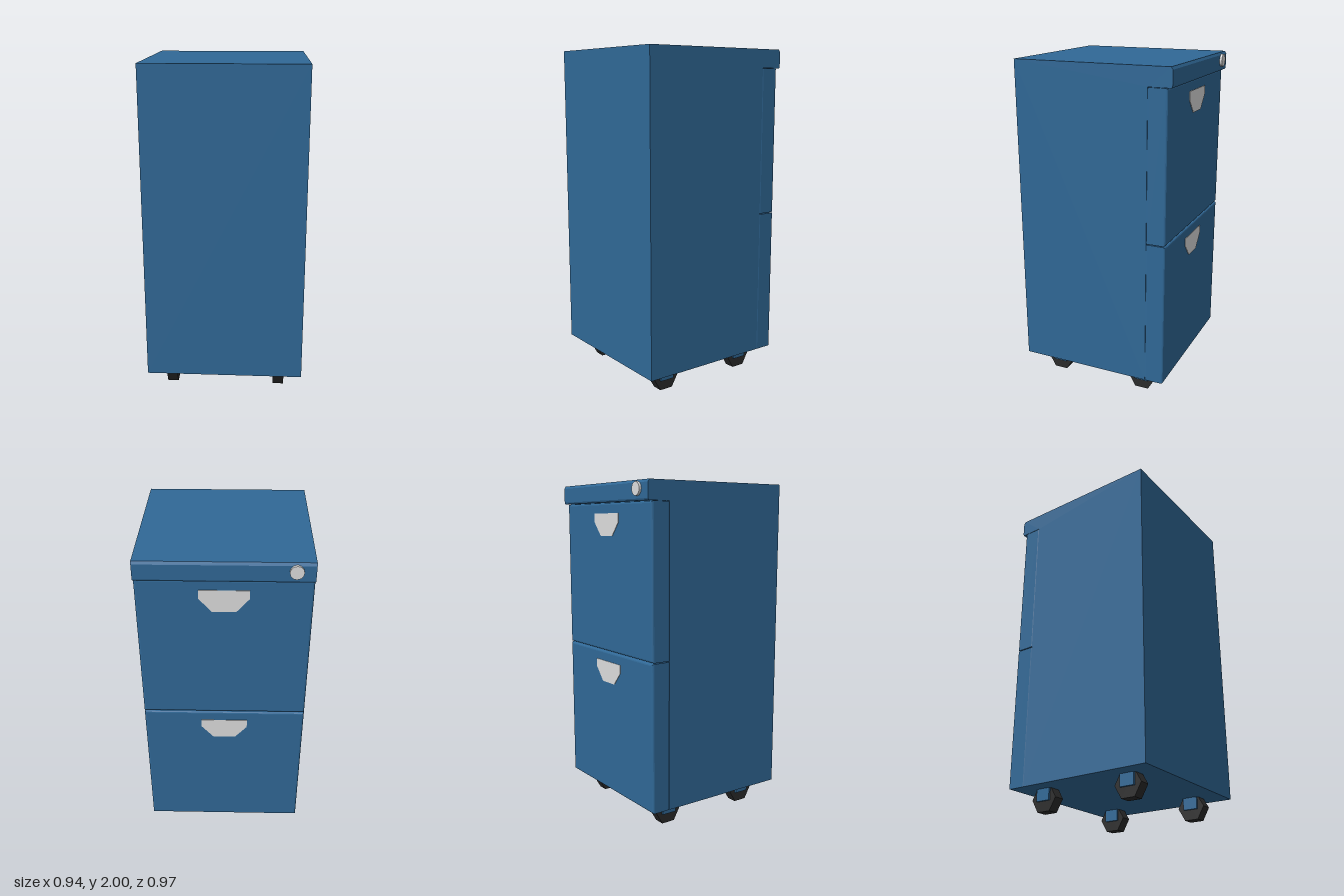
import * as THREE from 'three';

const material = (name, color) => {
  const m = new THREE.MeshStandardMaterial({ color });
  m.name = name;
  return m;
};

export function createModel() {
  const group = new THREE.Group();
  const blue = material('blue paint', 0x306896);
  const black = material('black rubber', 0x2b2b2b);
  const silver = material('silver metal', 0xdcdcdc);

  const add = (name, geometry, mat, x = 0, y = 0, z = 0) => {
    const mesh = new THREE.Mesh(geometry, mat);
    mesh.name = name;
    mesh.position.set(x, y, z);
    group.add(mesh);
    return mesh;
  };
  const polygon = (points) => new THREE.Shape(points.map(([x, y]) => new THREE.Vector2(x, y)));

  const halfWidth = 0.47;

  // Cabinet shell: side profile (depth, height) with a top overhanging the drawers
  const profile = polygon([
    [-0.485, 0.13], [0.335, 0.13], [0.335, 1.89], [0.47, 1.89],
    [0.475, 1.9], [0.475, 1.985], [0.465, 2], [-0.485, 2],
  ]);
  const shell = new THREE.ExtrudeGeometry(profile, { depth: halfWidth * 2, bevelEnabled: false });
  shell.rotateY(Math.PI / 2); // profile x becomes -z
  add('cabinetShell', shell, blue, -halfWidth);

  // Drawers with softened front edges, facing -z, and their recessed grips
  const bevel = 0.012;
  const drawers = [[0.13, 1.005], [1.01, 1.888]];
  drawers.forEach(([bottom, top], i) => {
    const label = i ? 'upper' : 'lower';
    const w = halfWidth - bevel;
    const front = polygon([
      [-w, bottom + bevel], [w, bottom + bevel], [w, top - bevel], [-w, top - bevel],
    ]);
    const drawer = new THREE.ExtrudeGeometry(front, {
      depth: 0.096, bevelThickness: bevel, bevelSize: bevel, bevelSegments: 3,
    });
    drawer.rotateY(Math.PI);
    add(label + 'Drawer', drawer, blue, 0, 0, -0.342);

    const grip = new THREE.ExtrudeGeometry(polygon([
      [-0.135, 0], [-0.135, -0.05], [-0.065, -0.13], [0.065, -0.13], [0.135, -0.05], [0.135, 0],
    ]), { depth: 0.004, bevelEnabled: false });
    grip.rotateY(Math.PI);
    add(label + 'DrawerGrip', grip, silver, 0, top - 0.06, -0.449);
  });

  // Lock barrel
  const lock = new THREE.CylinderGeometry(0.038, 0.038, 0.03, 12);
  lock.rotateX(Math.PI / 2);
  add('lock', lock, silver, -0.37, 1.953, -0.474);

  // Casters: six-sided wheels in square housings
  const wheel = new THREE.CylinderGeometry(0.085, 0.085, 0.066, 6).toNonIndexed();
  wheel.rotateZ(Math.PI / 2);
  wheel.computeVertexNormals();
  const housing = new THREE.BoxGeometry(0.09, 0.075, 0.09);
  for (const x of [-0.333, 0.333]) {
    for (const z of [0.305, -0.27]) {
      add('casterWheel', wheel, black, x, 0.0736, z);
      add('casterHousing', housing, blue, x, 0.0975, z);
    }
  }
  return group;
}
